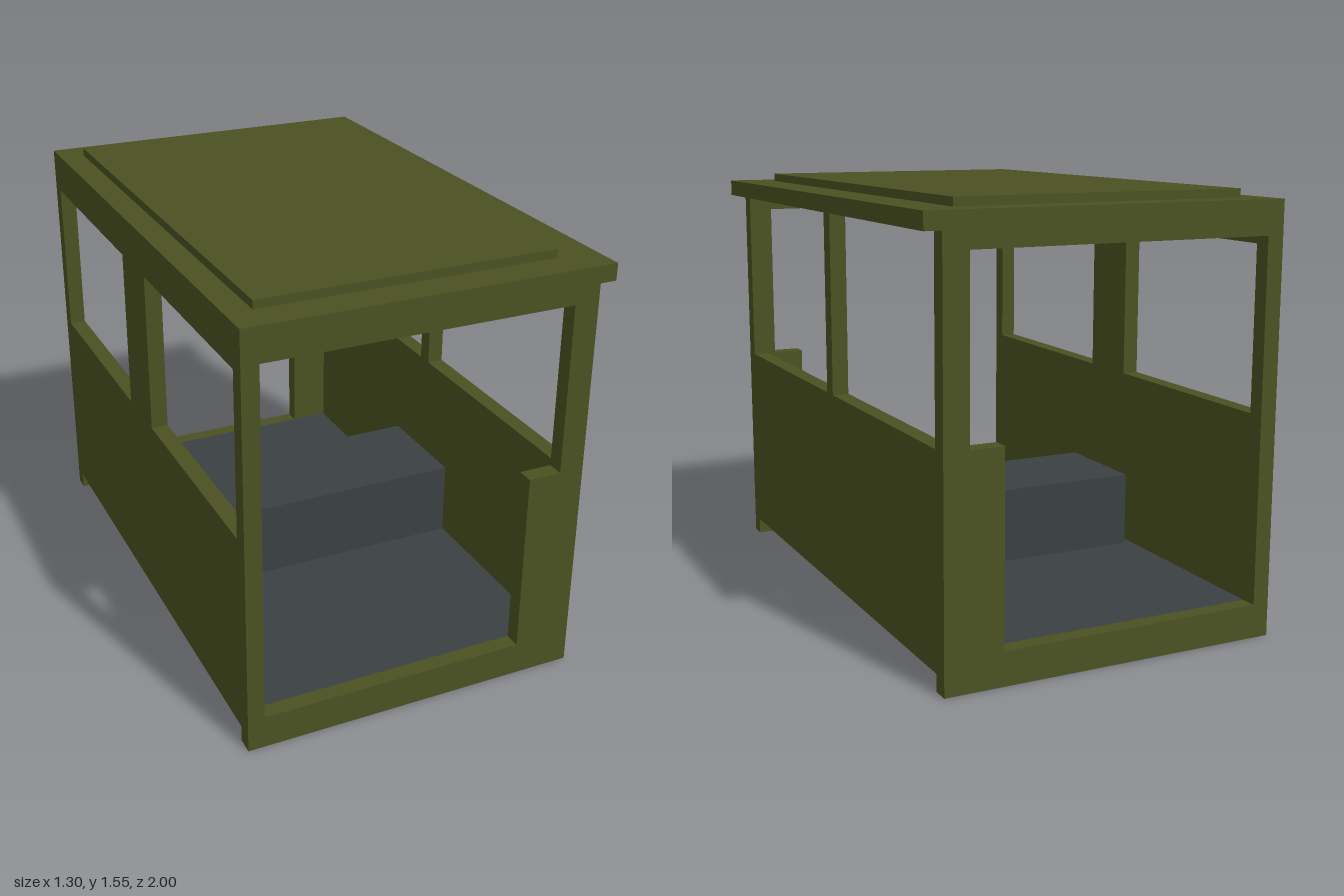
import * as THREE from 'three';

export function createModel() {
  const root = new THREE.Group();
  root.name = 'cabin';
  const olive = new THREE.MeshStandardMaterial({ color: 0x4a5121 });
  olive.name = 'olive paint';
  const grey = new THREE.MeshStandardMaterial({ color: 0x3a4143 });
  grey.name = 'dark grey';

  const add = (name, geometry, material) => {
    const mesh = new THREE.Mesh(geometry, material);
    mesh.name = name;
    root.add(mesh);
    return mesh;
  };
  // Box given by its limits on each axis
  const box = (name, [x0, x1], [y0, y1], [z0, z1], material = olive) =>
    add(name, new THREE.BoxGeometry(x1 - x0, y1 - y0, z1 - z0), material)
      .position.set((x0 + x1) / 2, (y0 + y1) / 2, (z0 + z1) / 2);
  const outline = (points, Type = THREE.Shape) => new Type(points.map(([a, b]) => new THREE.Vector2(a, b)));
  const rect = (a0, a1, b0, b1) => [[a0, b0], [a1, b0], [a1, b1], [a0, b1]];
  const plate = (points, holes) => {
    const shape = outline(points);
    shape.holes = holes.map((h) => outline(h, THREE.Path));
    return new THREE.ExtrudeGeometry(shape, { depth: 0.06, bevelEnabled: false });
  };

  // End frames with a stepped doorway
  const doorway = [[-0.59, 0.12], [0.38, 0.12], [0.38, 0.79], [0.5, 0.79], [0.5, 1.4], [-0.59, 1.4]];
  for (const [name, z] of [['frontFrame', 0.94], ['backFrame', -1]]) {
    add(name, plate(rect(-0.65, 0.59, 0, 1.46), [doorway]), olive).position.z = z;
  }

  // Right-hand closed wall with two windows, joined to the roof
  const windows = [rect(-0.94, -0.12, 0.79, 1.37), rect(0.12, 0.94, 0.79, 1.37)];
  const wallShape = [[-0.94, 0.06], [0.94, 0.06], [0.94, 0.79], [0.94, 1.37], [0.94, 1.46], [-0.94, 1.46]];
  // Lower panel, header and centre pillar leave windows reaching the end frames
  box('windowWallPanel', [-0.65, -0.59], [wallShape[0][1], windows[0][0][1]], [-0.94, 0.94]);
  box('windowWallHeader', [-0.65, -0.59], [1.37, 1.46], [-0.94, 0.94]);
  box('windowWallPillar', [-0.65, -0.59], [0.79, 1.37], [-0.12, 0.12]);

  // Low open wall with a slim pillar
  box('openWallPanel', [0.53, 0.59], [0.06, 0.79], [-0.94, 0.94]);
  box('openWallPillar', [0.53, 0.59], [0.79, 1.46], [-0.03, 0.03]);

  // Overhanging roof and its raised panel
  box('roof', [-0.65, 0.65], [1.46, 1.52], [-1, 1]);
  box('roofPanel', [-0.56, 0.5], [1.52, 1.55], [-0.88, 0.88]);

  // Floor and bench
  box('floor', [-0.59, 0.53], [0.06, 0.12], [-0.94, 0.94], grey);
  box('bench', [-0.56, 0.53], [0.12, 0.4], [-0.2, 0.2], grey);
  return root;
}
